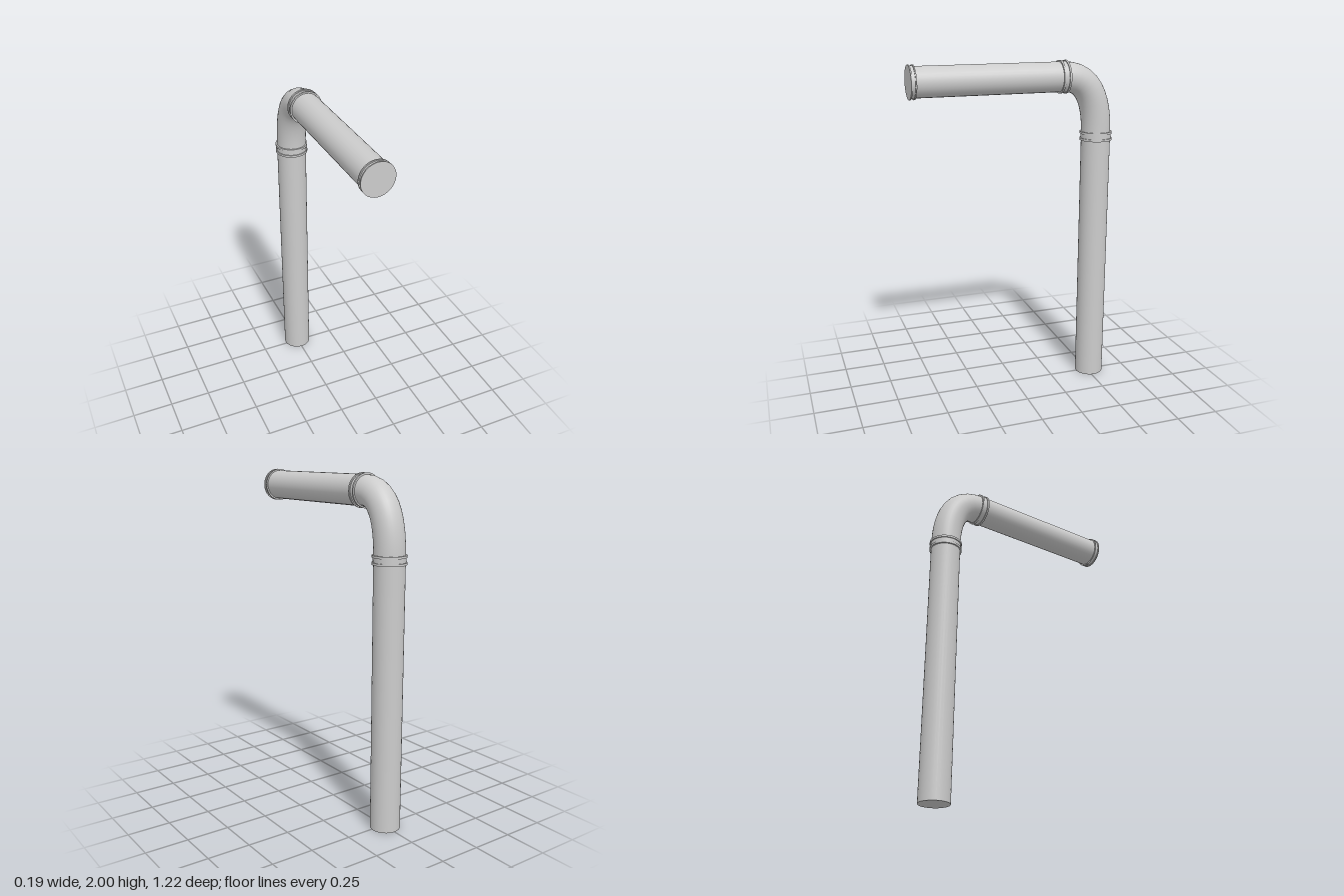
import * as THREE from 'three';
import { toCreasedNormals } from 'three/addons/utils/BufferGeometryUtils.js';

const SIDES = 32;
const R = 0.087;       // pipe radius
const RIM = 0.096;     // collar rim radius
const GROOVE = 0.09;   // collar groove radius
const AXIS_Y = 1.904;  // height of the horizontal run
const AXIS_Z = -0.514; // depth of the vertical run

export function createModel() {
  const group = new THREE.Group();
  const material = new THREE.MeshStandardMaterial({ color: 0xcccccc });

  const add = (name, geometry) => {
    const mesh = new THREE.Mesh(geometry, material);
    mesh.name = name;
    group.add(mesh);
    return mesh;
  };

  // Straight pipe, along y from a to b
  const pipe = (a, b) =>
    new THREE.CylinderGeometry(R, R, b - a, SIDES).translate(0, (a + b) / 2, 0);

  // Collar along y from a to b: two rims with a groove between, closed at both ends
  const collar = (a, b, rim) => {
    const profile = [
      [0, a], [RIM, a], [RIM, a + rim], [GROOVE, a + rim],
      [GROOVE, b - rim], [RIM, b - rim], [RIM, b], [0, b],
    ].map(([r, y]) => new THREE.Vector2(r, y));
    return toCreasedNormals(new THREE.LatheGeometry(profile, SIDES), Math.PI / 6);
  };

  // Place a y-aligned part on the vertical or the horizontal run
  const upright = (g) => g.translate(0, 0, AXIS_Z);
  const level = (g) => g.rotateX(Math.PI / 2).translate(0, AXIS_Y, 0);

  add('verticalPipe', upright(pipe(0, 1.55)));
  add('horizontalPipe', level(pipe(-0.29, 0.6)));

  // Elbow joining the two runs
  const bend = new THREE.QuadraticBezierCurve3(
    new THREE.Vector3(0, 1.56, AXIS_Z),
    new THREE.Vector3(0, AXIS_Y, AXIS_Z),
    new THREE.Vector3(0, AXIS_Y, -0.3)
  );
  add('elbow', new THREE.TubeGeometry(bend, 12, R, SIDES));

  add('lowerElbowCollar', upright(collar(1.525, 1.577, 0.013)));
  add('upperElbowCollar', level(collar(-0.315, -0.27, 0.011)));
  add('outletCollar', level(collar(0.58, 0.611, 0.007)));

  return group;
}
